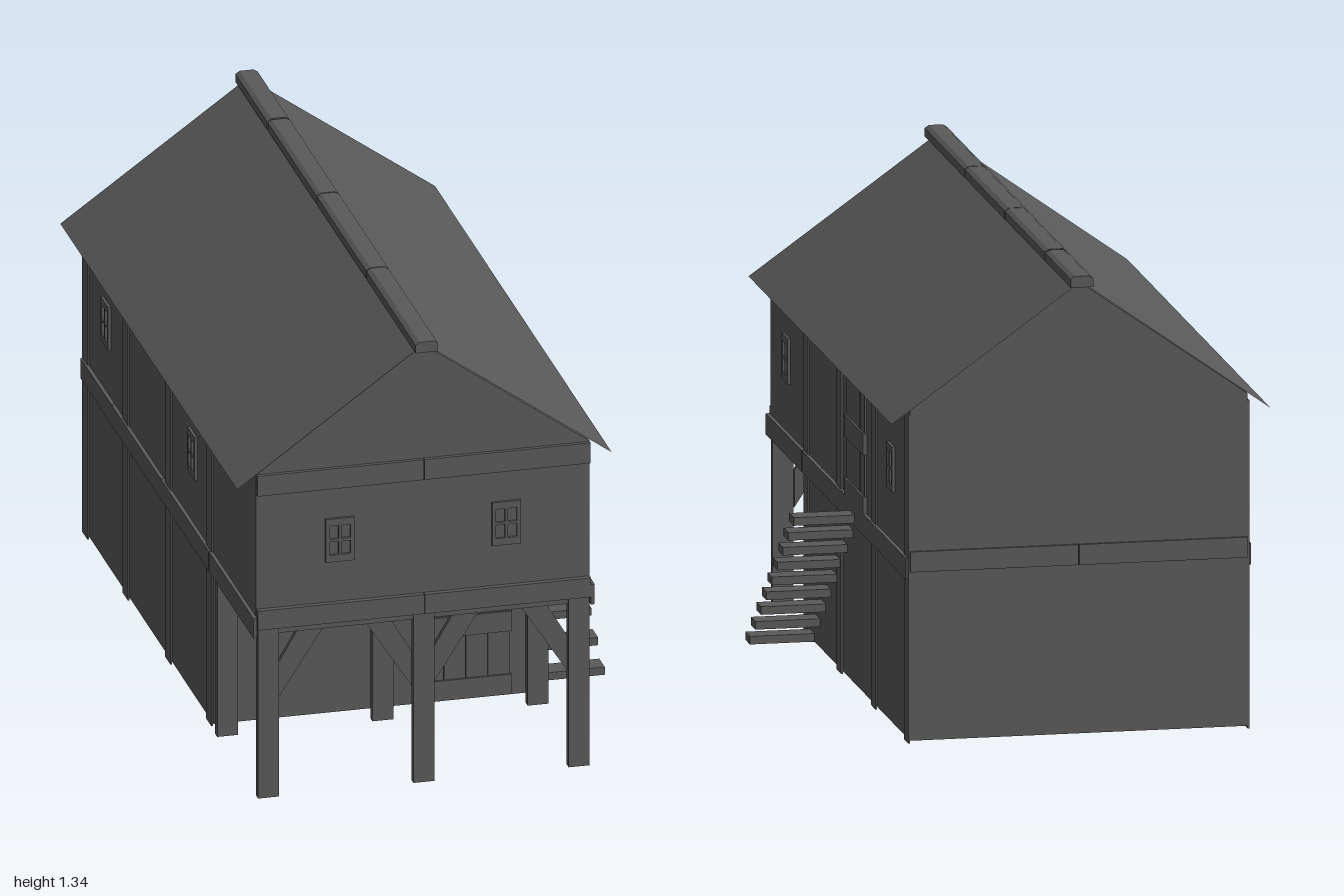
import * as THREE from 'three';

export function createModel() {
  const model = new THREE.Group();
  const grey = new THREE.MeshStandardMaterial({ color: 0x5a5a5a, side: THREE.DoubleSide });
  grey.name = 'dark grey';

  const CX = -0.06, L = -0.54, R = 0.417, BACK = -0.95, FRONT = 0.96, WALL = 0.49;

  const add = (name, geometry, parent = model) => {
    const mesh = new THREE.Mesh(geometry, grey);
    mesh.name = name;
    parent.add(mesh);
    return mesh;
  };
  // box from its limits on each axis
  const box = (name, x0, x1, y0, y1, z0, z1, parent) => {
    const mesh = add(name, new THREE.BoxGeometry(x1 - x0, y1 - y0, z1 - z0), parent);
    mesh.position.set((x0 + x1) / 2, (y0 + y1) / 2, (z0 + z1) / 2);
    return mesh;
  };
  const shape = (pts) => new THREE.Shape(pts.map(([x, y]) => new THREE.Vector2(x, y)));
  const extrude = (s, depth) => new THREE.ExtrudeGeometry(s, { depth, bevelEnabled: false });

  // upper storey with gables
  const upper = add('upperStorey', extrude(
    shape([[L, 0.49], [R, 0.49], [R, 0.975], [CX, 1.315], [L, 0.975]]), FRONT - BACK));
  upper.position.z = BACK;

  // lower storey: four thin walls, open underneath
  const wall = (name, w, x, z, turn) => {
    const m = add(name, new THREE.PlaneGeometry(w, 0.46));
    m.position.set(x, 0.26, z);
    m.rotation.y = turn;
  };
  const midZ = (WALL + BACK) / 2, midX = (L + R) / 2;
  wall('lowerFrontWall', R - L, midX, WALL, 0);
  wall('lowerBackWall', R - L, midX, BACK, Math.PI);
  wall('lowerLeftWall', WALL - BACK, R, midZ, Math.PI / 2);
  wall('lowerRightWall', WALL - BACK, L, midZ, -Math.PI / 2);

  // roof sheets
  for (const s of [-1, 1]) {
    const sheet = add(s > 0 ? 'leftRoof' : 'rightRoof',
      new THREE.PlaneGeometry(Math.hypot(0.537, 0.383), 1.96));
    sheet.rotation.order = 'ZYX';
    sheet.rotation.set(-Math.PI / 2, 0, -s * Math.atan2(0.383, 0.537));
    sheet.position.set(CX + s * 0.2685, 1.322 - 0.1915, -0.008);
  }

  // ridge caps
  const cap = shape([[-0.032, 1.308], [0.032, 1.308], [0.032, 1.332],
    [0.02, 1.34], [-0.02, 1.34], [-0.032, 1.332]]);
  const joints = [-1, -0.645, -0.1, 0.45, 1];
  for (let i = 0; i < 4; i++) {
    const m = add('ridgeCap', extrude(cap, joints[i + 1] - joints[i] - 0.004));
    m.position.set(CX, 0, joints[i] + (i ? 0.004 : 0));
  }

  // front posts, wall posts and braces
  const postX = [-0.505, CX, 0.385];
  postX.forEach((x, i) => {
    box('frontPost', x - 0.03, x + 0.03, 0, 0.51, 0.945, 0.967);
    box('wallPost', x - 0.03, x + 0.03, 0, 0.49, WALL, 0.513);
    for (const s of [-1, 1]) {
      if ((i === 0 && s < 0) || (i === 2 && s > 0)) continue;
      const brace = add('brace', extrude(shape([[0.03 * s, 0.285], [0.175 * s, 0.51],
        [0.1 * s, 0.51], [0.03 * s, 0.39]]), 0.014));
      brace.position.set(x, 0, 0.934);
    }
  });

  // beams across the front and back, each in two lengths
  for (const [a, b] of [[-0.538, CX - 0.001], [CX + 0.001, 0.417]]) {
    box('frontTopBeam', a, b, 0.912, 0.973, FRONT, 0.972);
    box('frontFloorBeam', a, b, 0.51, 0.568, FRONT, 0.976);
    box('backFloorBeam', a, b, 0.51, 0.568, BACK - 0.008, BACK);
  }

  // timber on both long sides
  const sideZ = [0.455, 0.002, -0.47, -0.92];
  for (const s of [-1, 1]) {
    const face = s > 0 ? R : L;
    const out = (name, t, y0, y1, z0, z1) =>
      box(name, Math.min(face, face + s * t), Math.max(face, face + s * t), y0, y1, z0, z1);
    for (const z of sideZ) out('sidePost', 0.005, 0.022, 0.955, z - 0.03, z + 0.03);
    const cuts = [-0.945, -0.6, -0.055, 0.48, 0.975];
    for (let i = 0; i < 4; i++)
      out('sideFloorBeam', 0.011, 0.487, 0.547, cuts[i] + 0.001, cuts[i + 1] - 0.001);
  }

  // windows: frame with four panes
  const makeWindow = (x, y, z, turn) => {
    const g = new THREE.Group();
    g.name = 'window';
    const frame = shape([[-0.041, -0.065], [0.041, -0.065], [0.041, 0.065], [-0.041, 0.065]]);
    for (const px of [-0.017, 0.017]) for (const py of [-0.024, 0.024]) {
      const w = 0.013, h = 0.02;
      frame.holes.push(new THREE.Path([[-w, -h], [-w, h], [w, h], [w, -h]]
        .map(([a, b]) => new THREE.Vector2(px + a, py + b))));
    }
    add('windowFrame', extrude(frame, 0.008), g);
    g.position.set(x, y, z);
    g.rotation.y = turn;
    model.add(g);
  };
  makeWindow(-0.3, 0.755, FRONT, 0);
  makeWindow(0.177, 0.755, FRONT, 0);
  for (const z of [0.73, -0.7]) makeWindow(R, 0.755, z, Math.PI / 2);
  for (const z of [0.27, -0.69]) makeWindow(L, 0.755, z, -Math.PI / 2);

  // plank doors with rails
  const makeDoor = (name, x, y, z, turn, rails) => {
    const g = new THREE.Group();
    g.name = name;
    for (let i = 0; i < 4; i++) {
      const a = -0.126 + i * 0.063;
      box('doorPlank', a + 0.001, a + 0.062, 0, 0.405, 0, 0.005, g);
    }
    for (const r of rails) box('doorRail', -0.131, 0.131, r, r + 0.06, 0, 0.011, g);
    g.position.set(x, y, z);
    g.rotation.y = turn;
    model.add(g);
  };
  makeDoor('lowerDoor', 0.182, 0.035, WALL, 0, [0, 0.19]);
  makeDoor('upperDoor', R, 0.535, -0.228, Math.PI / 2, [0, 0.18, 0.36]);

  // outside steps
  for (let i = 0; i < 9; i++) {
    const z = 0.39 - i * 0.075, y = 0.03 + i * 0.0583;
    box('step', R, 0.6, y, y + 0.023, z - 0.031, z + 0.031);
  }
  return model;
}
